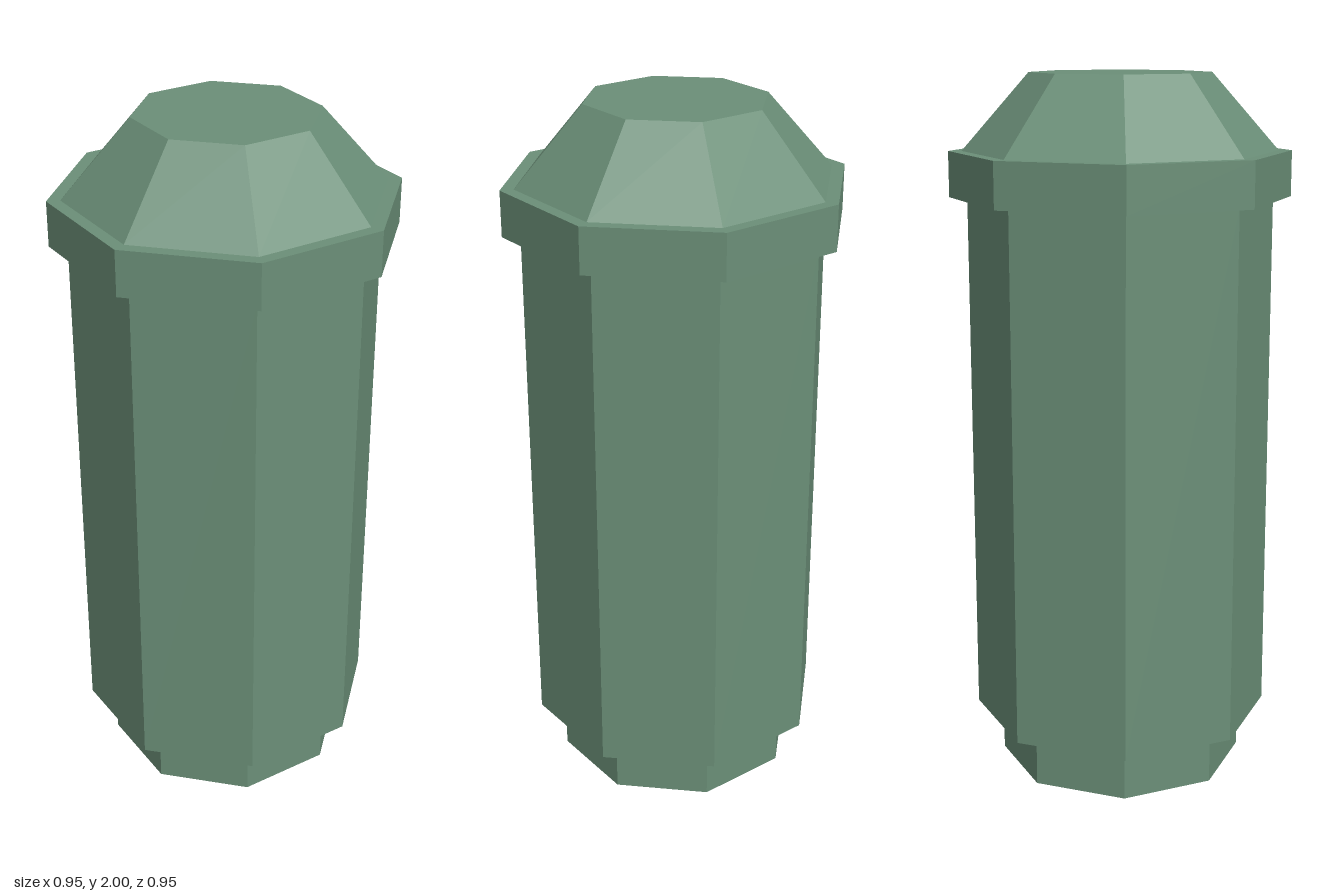
import * as THREE from 'three';

export function createModel() {
  const group = new THREE.Group();
  group.name = 'canister';

  const green = new THREE.MeshStandardMaterial({ color: 0x6b8f78, flatShading: true });
  green.name = 'sage green';

  // Octagonal section between two heights, with a corner on each axis
  function section(name, bottomRadius, topRadius, y0, y1) {
    const geometry = new THREE.CylinderGeometry(topRadius, bottomRadius, y1 - y0, 8);
    const mesh = new THREE.Mesh(geometry, green);
    mesh.name = name;
    mesh.position.y = (y0 + y1) / 2;
    group.add(mesh);
  }

  section('foot', 0.352, 0.352, 0, 0.152);
  section('body', 0.427, 0.427, 0.152, 1.66);
  section('rim', 0.477, 0.477, 1.66, 1.787);
  section('taperedCap', 0.44, 0.252, 1.787, 2);

  return group;
}
